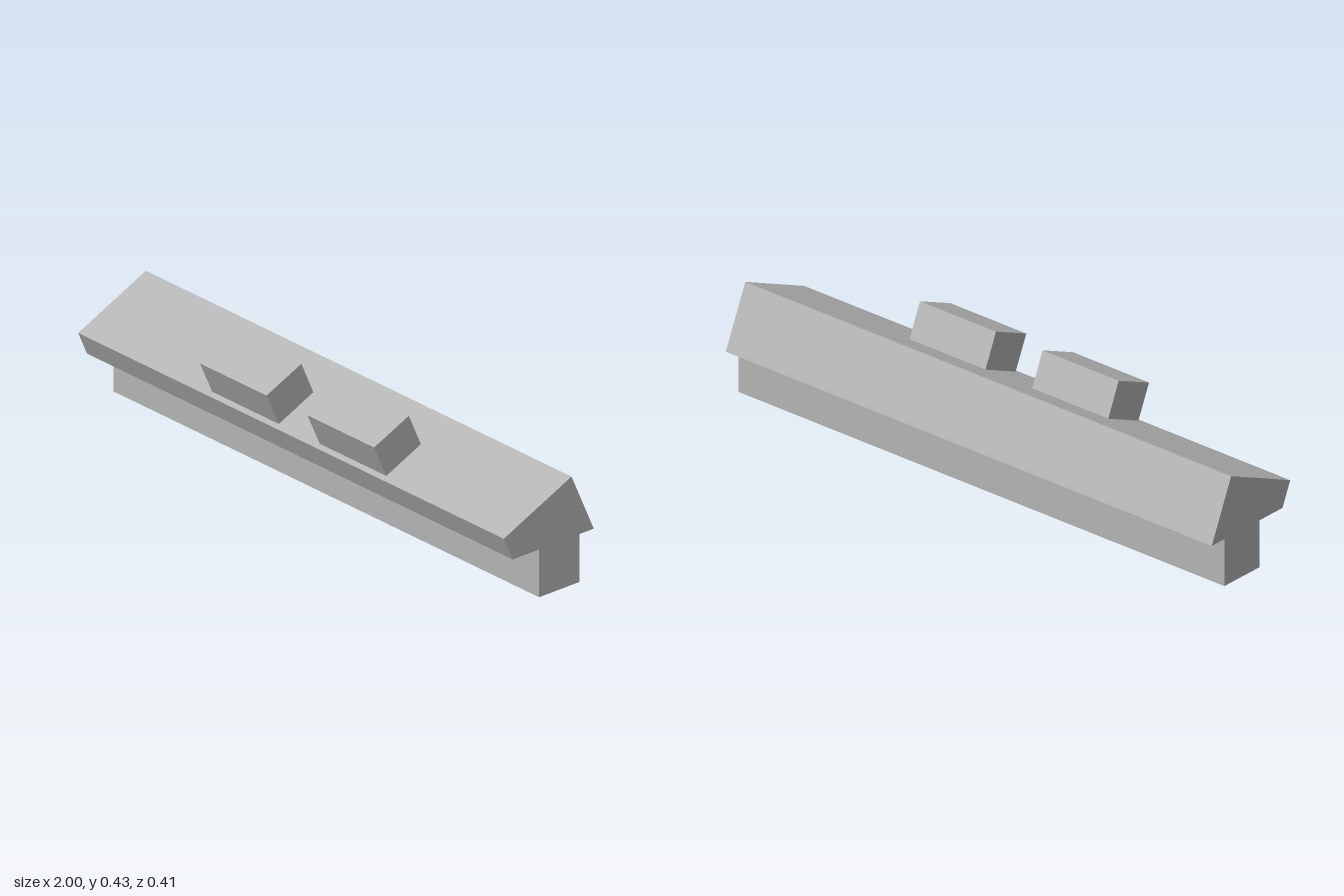
import * as THREE from 'three';

const grey = new THREE.MeshStandardMaterial({ color: 0xb4b4b4 });
grey.name = 'grey';

// Extrude a (z, y) profile along x, centred on the given x
function bar(name, profile, length, x = 0) {
  const shape = new THREE.Shape(profile.map(([z, y]) => new THREE.Vector2(z, y)));
  const geometry = new THREE.ExtrudeGeometry(shape, { depth: length, bevelEnabled: false });
  geometry.translate(0, 0, -length / 2);
  geometry.rotateY(-Math.PI / 2);
  const mesh = new THREE.Mesh(geometry, grey);
  mesh.name = name;
  mesh.position.x = x;
  return mesh;
}

export function createModel() {
  const model = new THREE.Group();
  model.name = 'slopedRail';

  // Rail: upright stem carrying a head with a sloped top, as one profile
  model.add(bar('rail', [
    [0.025, 0], [0.025, 0.165], [0.135, 0.165], [0.172, 0.248],
    [-0.11, 0.374], [-0.203, 0.165], [-0.143, 0.165], [-0.143, 0],
  ], 2));

  // Two blocks standing square on the slope
  const block = [[0.154, 0.256], [0.205, 0.37], [0.06, 0.434], [0.01, 0.32]];
  model.add(bar('rightBlock', block, 0.313, -0.234));
  model.add(bar('leftBlock', block, 0.313, 0.271));

  return model;
}
